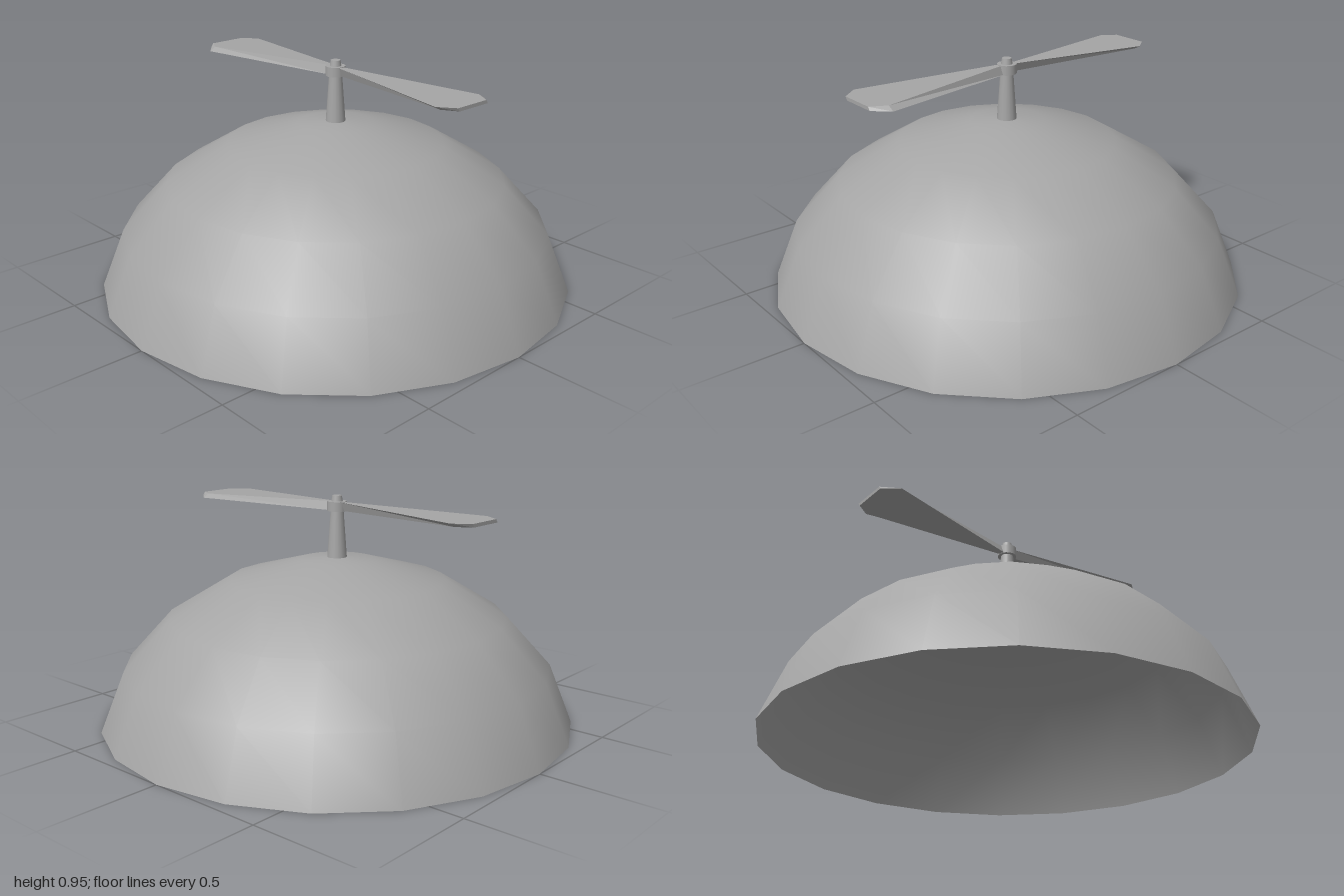
import * as THREE from 'three';

const color = 0xa5a5a5;
const material = new THREE.MeshStandardMaterial({ color });
const flat = new THREE.MeshStandardMaterial({ color, flatShading: true });
const shell = new THREE.MeshStandardMaterial({ color, side: THREE.DoubleSide });

const points = (list) => list.map(([x, y]) => new THREE.Vector2(x, y));

function addMesh(parent, name, geometry, mat) {
  const mesh = new THREE.Mesh(geometry, mat);
  mesh.name = name;
  parent.add(mesh);
  return mesh;
}

// Upright tapered cylinder between two heights
function post(rTop, rBottom, y0, y1) {
  return new THREE.CylinderGeometry(rTop, rBottom, y1 - y0, 16).translate(0, (y0 + y1) / 2, 0);
}

// Flat paddle, thinner toward the tip, with its underside swept back
function bladeGeometry() {
  const outline = points([
    [0.02, -0.013], [0.65, -0.12], [0.715, -0.07],
    [0.715, 0.088], [0.65, 0.125], [0.02, 0.005],
  ]);
  const geometry = new THREE.ExtrudeGeometry(new THREE.Shape(outline), { depth: 1, bevelEnabled: false });
  geometry.rotateX(-Math.PI / 2);
  const p = geometry.attributes.position;
  for (let i = 0; i < p.count; i++) {
    const x = p.getX(i);
    const half = THREE.MathUtils.lerp(0.0185, 0.007, x / 0.715);
    const top = p.getY(i) > 0.5;
    p.setY(i, 0.911 + (top ? half : -half));
    // The sweep grows from the root and fades again at the tip
    const sweep = x > 0.7 ? 0.01 : THREE.MathUtils.lerp(0.012, 0.028, x / 0.65);
    if (!top) p.setZ(i, p.getZ(i) - sweep);
  }
  geometry.computeVertexNormals();
  return geometry;
}

export function createModel() {
  const model = new THREE.Group();
  model.name = 'propellerCap';

  // Open dome
  const profile = points([[1, 0], [0.9, 0.25], [0.712, 0.455], [0.455, 0.61], [0.157, 0.69], [0, 0.7]]);
  addMesh(model, 'dome', new THREE.LatheGeometry(profile, 20), shell);

  // Mast
  addMesh(model, 'mast', post(0.027, 0.042, 0.685, 0.895), material);

  // Propeller
  const propeller = new THREE.Group();
  propeller.name = 'propeller';
  model.add(propeller);
  addMesh(propeller, 'hub', post(0.041, 0.041, 0.891, 0.931), material);
  addMesh(propeller, 'hubCap', post(0.02, 0.024, 0.93, 0.955), material);
  const blade = bladeGeometry();
  addMesh(propeller, 'leftBlade', blade, flat);
  addMesh(propeller, 'rightBlade', blade, flat).rotation.y = Math.PI;

  return model;
}
